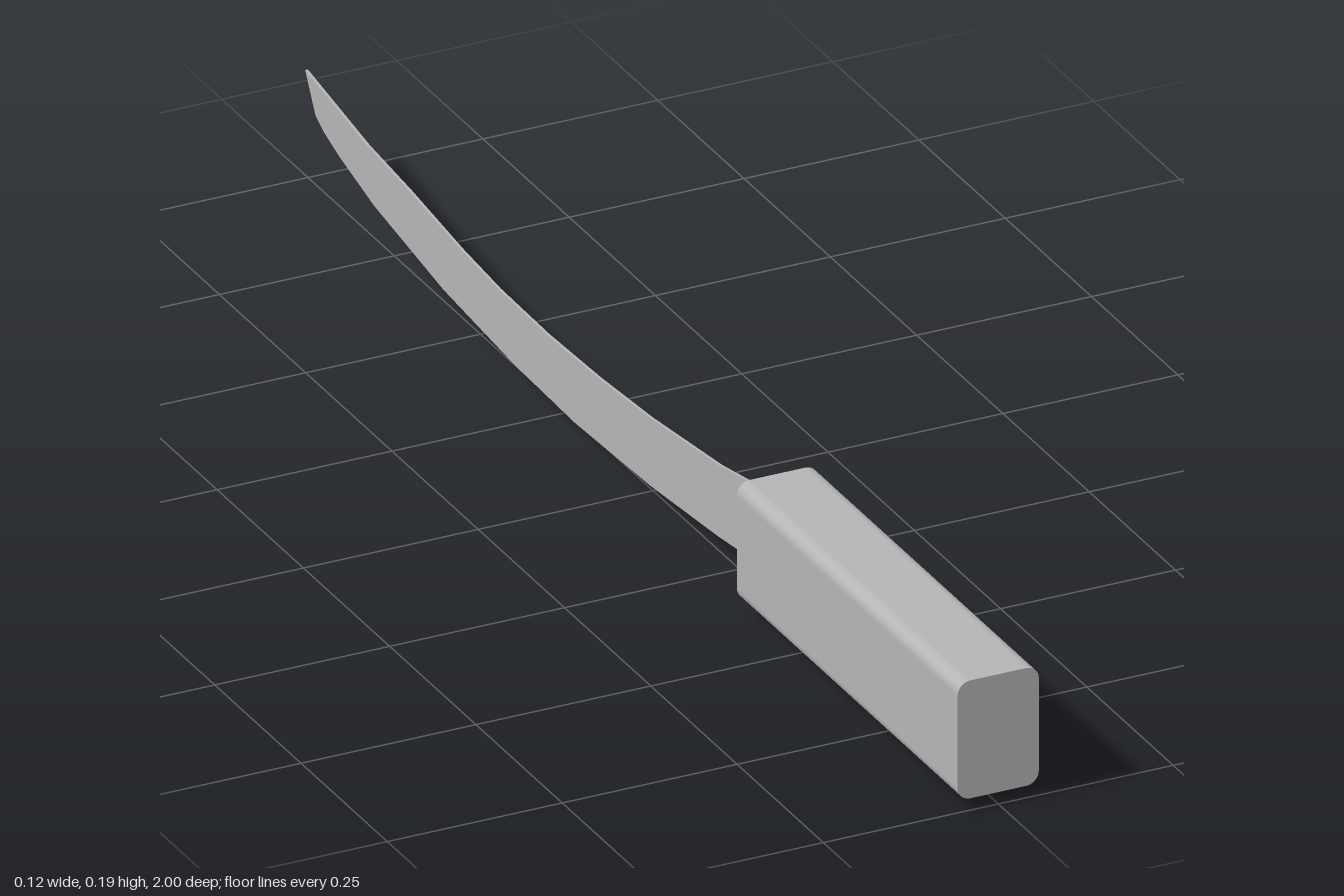
import * as THREE from 'three';

const steel = new THREE.MeshStandardMaterial({ color: 0xb4b4b4 });
steel.name = 'grey';

// rounded rectangle centred on (0, cy)
function roundedRect(w, h, r, cy) {
  const x = w / 2, b = cy - h / 2, t = cy + h / 2;
  const s = new THREE.Shape();
  s.moveTo(-x + r, b);
  s.lineTo(x - r, b);
  s.absarc(x - r, b + r, r, -Math.PI / 2, 0, false);
  s.lineTo(x, t - r);
  s.absarc(x - r, t - r, r, 0, Math.PI / 2, false);
  s.lineTo(-x + r, t);
  s.absarc(-x + r, t - r, r, Math.PI / 2, Math.PI, false);
  s.lineTo(-x, b + r);
  s.absarc(-x + r, b + r, r, Math.PI, Math.PI * 1.5, false);
  return s;
}

export function createModel() {
  const group = new THREE.Group();
  group.name = 'sword';

  // handle: rounded bar along z
  const handleGeo = new THREE.ExtrudeGeometry(roundedRect(0.116, 0.169, 0.018, 0.1015),
    { depth: 0.64, bevelEnabled: false, curveSegments: 5 });
  handleGeo.translate(0, 0, 0.36);
  const handle = new THREE.Mesh(handleGeo, steel);
  handle.name = 'handle';
  group.add(handle);

  // blade outline as (distance toward the tip, height)
  const spine = [[-0.37, 0.157], [-0.2, 0.127], [0, 0.105], [0.15, 0.095], [0.3, 0.09],
    [0.44, 0.092], [0.55, 0.1], [0.7, 0.117], [0.82, 0.127], [1, 0.155]];
  const edge = [[0.97, 0.103], [0.945, 0.09], [0.9, 0.075], [0.8, 0.05], [0.6, 0.02],
    [0.4, 0.005], [0.22, 0], [0, 0.008], [-0.2, 0.024], [-0.32, 0.038], [-0.37, 0.052]];
  const outline = [...edge].reverse().concat([...spine].reverse());
  const thickness = 0.004;
  const bladeGeo = new THREE.ExtrudeGeometry(
    new THREE.Shape(outline.map(([x, y]) => new THREE.Vector2(x, y))),
    { depth: thickness, bevelEnabled: false });
  bladeGeo.rotateY(Math.PI / 2);
  bladeGeo.translate(-0.002 - thickness / 2, 0, 0);
  const blade = new THREE.Mesh(bladeGeo, steel);
  blade.name = 'blade';
  group.add(blade);

  return group;
}
